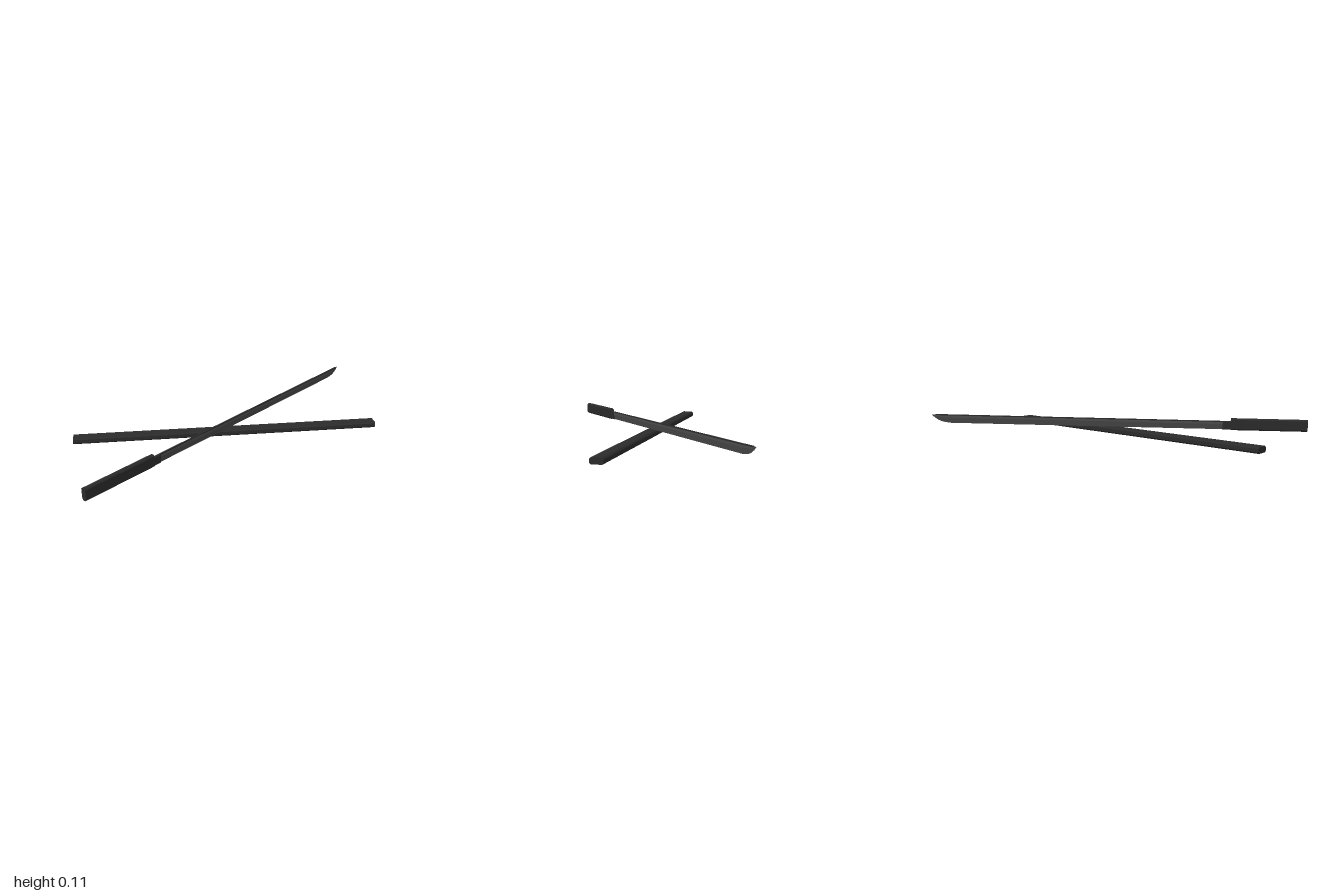
import * as THREE from 'three';

const black = new THREE.MeshStandardMaterial({ color: 0x2b2b2c, flatShading: true });
black.name = 'black lacquer';
const steel = new THREE.MeshStandardMaterial({ color: 0x4a4a4b, flatShading: true });
steel.name = 'dark steel';
const red = new THREE.MeshStandardMaterial({ color: 0x4a1f20, flatShading: true });
red.name = 'dark red';

// Bar along z with a chamfered rectangular section, centred on its length
function chamferedBar(name, w, h, length, c, material) {
  const x = w / 2, y = h / 2;
  const shape = new THREE.Shape([
    [x, -y + c], [x, y - c], [x - c, y], [-x + c, y],
    [-x, y - c], [-x, -y + c], [-x + c, -y], [x - c, -y],
  ].map(p => new THREE.Vector2(...p)));
  const geo = new THREE.ExtrudeGeometry(shape, { depth: length, bevelEnabled: false });
  geo.translate(0, 0, -length / 2);
  const mesh = new THREE.Mesh(geo, material);
  mesh.name = name;
  return mesh;
}

// Blade: five-sided wedge sections running from the collar to the curved tip
function bladeGeometry() {
  const top = 0.0215;
  const stations = [[0.59, -0.0215], [-0.9, -0.0215], [-0.94, -0.016], [-0.965, -0.007], [-0.985, 0.006], [-1, 0.0205]];
  const pos = [], index = [], n = 5;
  for (const [z, low] of stations) {
    const ridge = top - (top - low) * 0.35;
    const k = Math.min(1, 0.15 + (top - low) / 0.043);
    pos.push(0.004 * k, top, z, -0.004 * k, top, z, -0.005 * k, ridge, z, 0, low, z, 0.005 * k, ridge, z);
  }
  for (let s = 0; s < stations.length - 1; s++) {
    for (let i = 0; i < n; i++) {
      const a = s * n + i, b = s * n + (i + 1) % n;
      index.push(a, a + n, b, b, a + n, b + n);
    }
  }
  const e = (stations.length - 1) * n;
  for (let i = 1; i < n - 1; i++) index.push(0, i, i + 1, e, e + i + 1, e + i);
  const geo = new THREE.BufferGeometry();
  geo.setAttribute('position', new THREE.Float32BufferAttribute(pos, 3));
  geo.setIndex(index);
  const flat = geo.toNonIndexed();
  flat.computeVertexNormals();
  return flat;
}

export function createModel() {
  const model = new THREE.Group();
  model.name = 'swordAndScabbard';

  // Scabbard lying flat on the ground
  const scabbard = chamferedBar('scabbard', 0.067, 0.031, 1.6, 0.007, black);
  scabbard.position.set(0, 0.0155, 0.04);
  scabbard.rotation.y = -0.696;
  model.add(scabbard);

  // Sword resting across it, tip raised
  const sword = new THREE.Group();
  sword.name = 'sword';
  sword.position.set(0.011, 0.0615, 0);
  sword.rotation.set(0.027, 0.031, 0, 'YXZ');
  model.add(sword);

  const blade = new THREE.Mesh(bladeGeometry(), steel);
  blade.name = 'blade';
  sword.add(blade);

  // Black back edge of the blade
  const spine = new THREE.Mesh(new THREE.BoxGeometry(0.0095, 0.005, 1.57), black);
  spine.name = 'bladeSpine';
  spine.position.set(0, 0.0205, -0.195);
  sword.add(spine);

  const collar = chamferedBar('collar', 0.014, 0.046, 0.05, 0.003, black);
  collar.position.set(0, 0, 0.57);
  sword.add(collar);

  const handle = chamferedBar('handle', 0.026, 0.063, 0.41, 0.007, black);
  handle.position.set(0, 0.007, 0.795);
  sword.add(handle);

  // Small red diamonds set in both sides of the handle
  for (const side of [1, -1]) {
    const stud = new THREE.Mesh(new THREE.BoxGeometry(0.002, 0.009, 0.009), red);
    stud.name = 'handleStud';
    stud.position.set(side * 0.0132, 0.007, 0.735);
    stud.rotation.x = Math.PI / 4;
    sword.add(stud);
  }
  return model;
}
